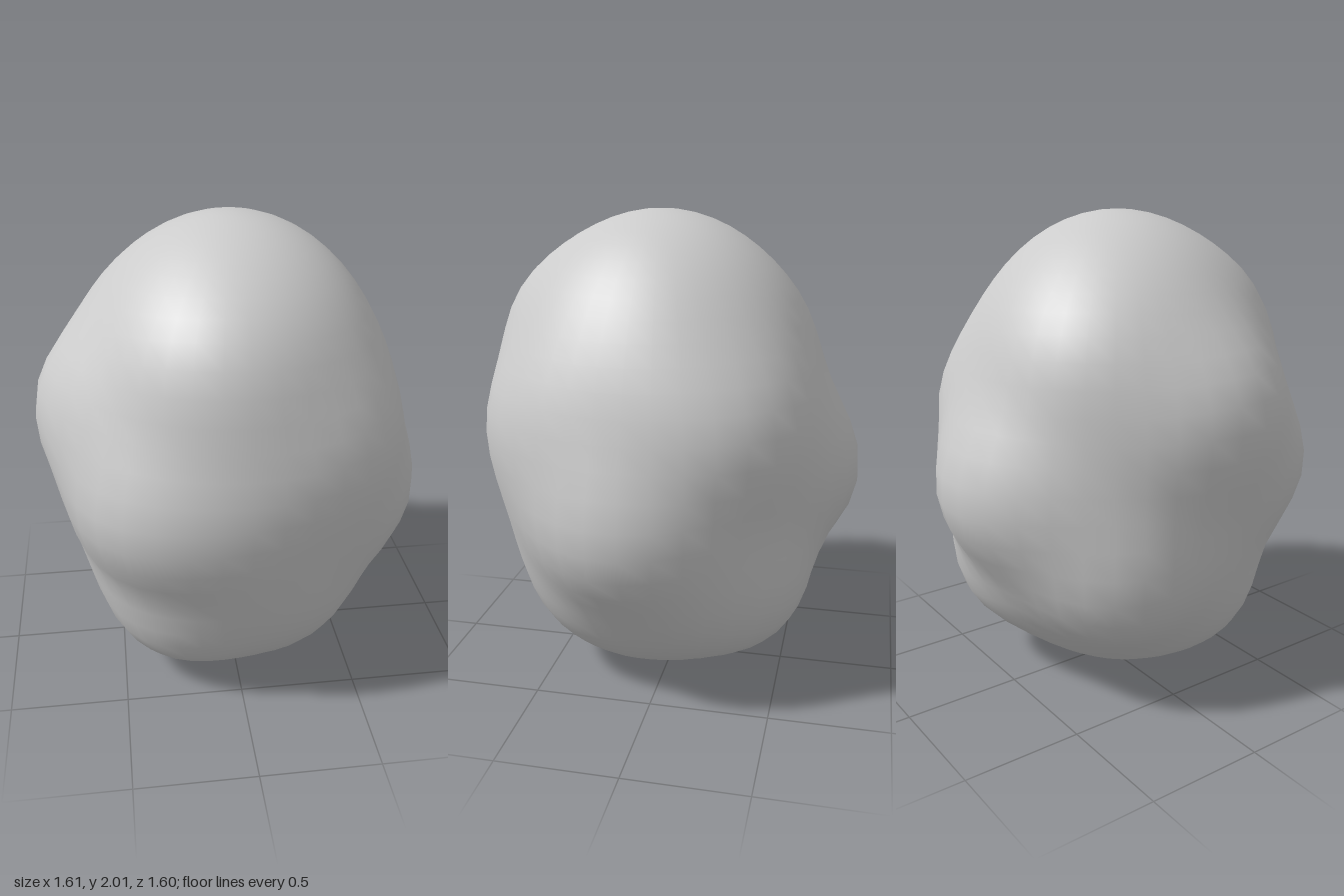
import * as THREE from 'three';
import { mergeVertices } from 'three/addons/utils/BufferGeometryUtils.js';

// Egg-shaped core, a little fuller towards the top
const CENTER = new THREE.Vector3(0, 1, 0.05);
const coreRadii = (y) => new THREE.Vector3(0.715 + 0.02 * y, 1, 0.715 + 0.02 * y);

// Width of a lump along the ground and upwards
const SPREAD = new THREE.Vector3(0.27, 0.21, 0.27);

// Peak of each rounded lump on the surface
const PEAKS = [
  [-0.80, 1.28, 0.15], [0.80, 0.76, 0.13], [-0.11, 0.89, -0.80],
  [-0.12, 1.62, 0.69], [0.52, 1.17, 0.62], [-0.53, 0.93, 0.68],
  [0.60, 1.20, -0.46], [-0.46, 1.53, -0.44], [0.00, 1.08, 0.79],
  [0.34, 0.28, 0.48], [-0.42, 0.22, 0.42], [0.38, 0.36, -0.52],
  [-0.59, 0.50, -0.38],
];

// Each peak becomes a spot on the core and a height above it
const lumps = PEAKS.map((p) => {
  const offset = new THREE.Vector3(...p).sub(CENTER);
  const radii = coreRadii(offset.y);
  const reach = offset.clone().divide(radii).length();
  return { spot: offset.divideScalar(reach), height: reach - 1 };
});

// Soft combination, so neighbouring lumps blend without piling up
function swell(point) {
  let sum = 0;
  for (const { spot, height } of lumps) {
    const gap = point.clone().sub(spot).divide(SPREAD);
    sum += (height * Math.exp(-0.5 * gap.lengthSq())) ** 2;
  }
  return 1 + Math.sqrt(sum);
}

// Push every point of a sphere out to the lumpy surface
function lumpyGeometry() {
  const sphere = new THREE.SphereGeometry(1, 40, 32);
  sphere.deleteAttribute('uv');
  sphere.deleteAttribute('normal');
  const geo = mergeVertices(sphere);
  const pos = geo.attributes.position;
  const p = new THREE.Vector3();
  for (let i = 0; i < pos.count; i++) {
    p.fromBufferAttribute(pos, i);
    p.multiply(coreRadii(p.y));
    p.multiplyScalar(swell(p)).add(CENTER);
    pos.setXYZ(i, p.x, p.y, p.z);
  }
  geo.computeVertexNormals();
  return geo;
}

export function createModel() {
  const group = new THREE.Group();
  group.name = 'lumpyRock';
  const rock = new THREE.Mesh(lumpyGeometry(), new THREE.MeshStandardMaterial({ color: 0xcccccc }));
  rock.name = 'rock';
  group.add(rock);
  return group;
}
